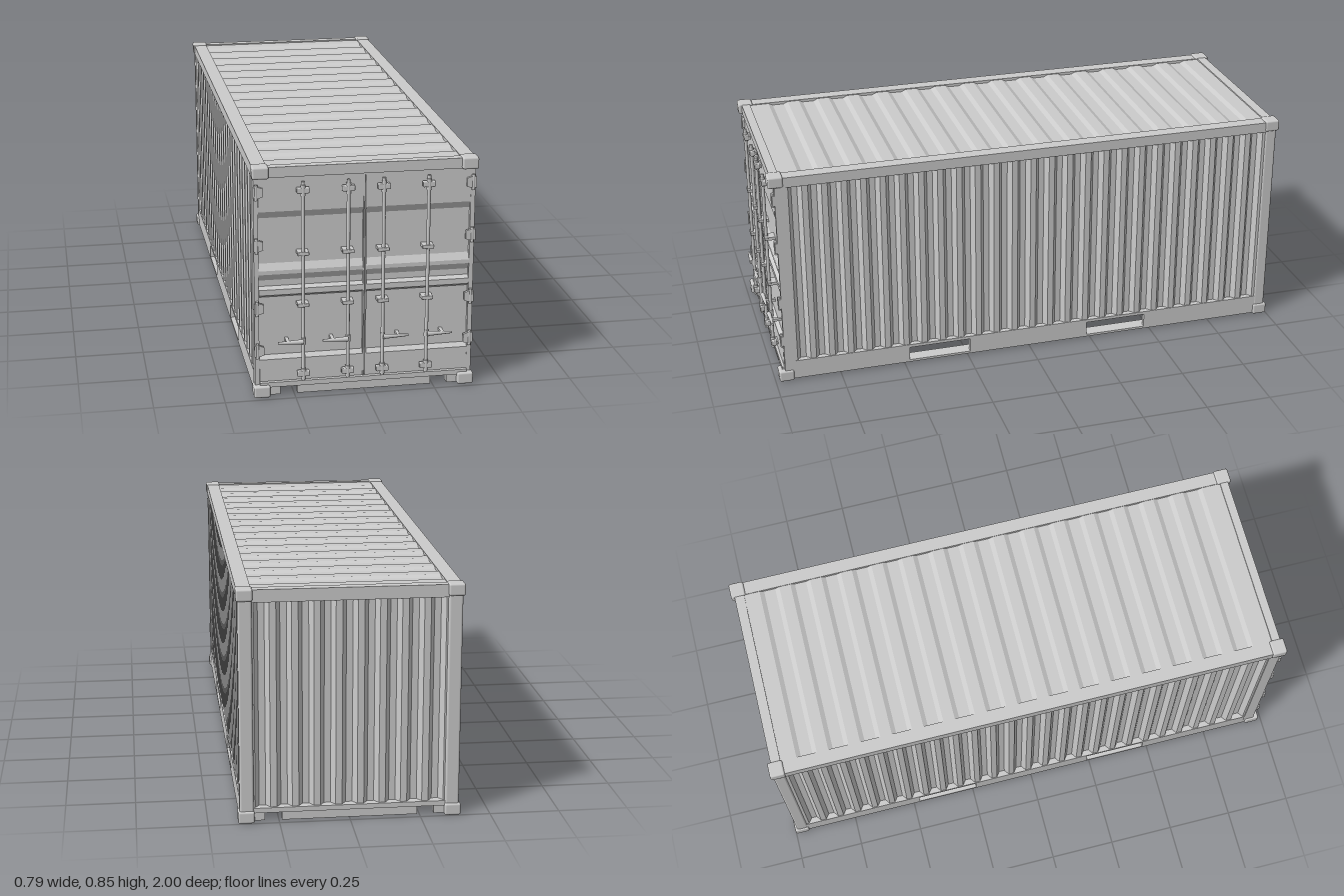
import * as THREE from 'three';
import { RoundedBoxGeometry } from 'three/addons/geometries/RoundedBoxGeometry.js';

const steel = new THREE.MeshStandardMaterial({ color: 0xcccccc, side: THREE.DoubleSide });

function add(parent, name, geometry, x = 0, y = 0, z = 0) {
  const mesh = new THREE.Mesh(geometry, steel);
  mesh.name = name;
  mesh.position.set(x, y, z);
  parent.add(mesh);
  return mesh;
}

// Box given by its min and max on each axis
function box(parent, name, [x0, x1], [y0, y1], [z0, z1]) {
  return add(parent, name, new THREE.BoxGeometry(x1 - x0, y1 - y0, z1 - z0),
    (x0 + x1) / 2, (y0 + y1) / 2, (z0 + z1) / 2);
}

// Sheet whose folded profile (run, height) is extruded along an axis; height points outward
function sheet(parent, name, profile, thickness, width, outward, along, position) {
  const top = profile.map(([u, v]) => new THREE.Vector2(u, v));
  const bottom = profile.map(([u, v]) => new THREE.Vector2(u, v - thickness)).reverse();
  const geometry = new THREE.ExtrudeGeometry(new THREE.Shape([...top, ...bottom]),
    { depth: width, bevelEnabled: false });
  geometry.translate(0, 0, -width / 2);
  const run = new THREE.Vector3().crossVectors(outward, along);
  geometry.applyMatrix4(new THREE.Matrix4().makeBasis(run, outward, along));
  return add(parent, name, geometry, ...position);
}

// Trapezoid corrugation centred on zero; fractions: outer flat, slope, inner flat, slope
function corrugation(length, count, depth, slope = 0.2) {
  const pitch = length / count;
  const flat = (1 - 2 * slope) / 2;
  const points = [];
  for (let i = 0; i < count; i++) {
    const u = -length / 2 + i * pitch;
    points.push([u, 0], [u + flat * pitch / 2, 0],
      [u + (flat / 2 + slope) * pitch, -depth],
      [u + (flat * 1.5 + slope) * pitch, -depth],
      [u + (flat * 1.5 + 2 * slope) * pitch, 0]);
  }
  points.push([length / 2, 0]);
  return points;
}

// Long bottom rail with two fork pockets cut through the web
function bottomRailGeometry() {
  const web = new THREE.Shape([[-0.95, 0.005], [0.95, 0.005], [0.95, 0.08], [-0.95, 0.08]]
    .map(p => new THREE.Vector2(...p)));
  for (const z of [-0.355, 0.36]) {
    web.holes.push(new THREE.Path([[z - 0.12, 0.014], [z - 0.12, 0.068], [z + 0.12, 0.068], [z + 0.12, 0.014]]
      .map(p => new THREE.Vector2(...p))));
  }
  const geometry = new THREE.ExtrudeGeometry(web, { depth: 0.018, bevelEnabled: false });
  return geometry.rotateY(-Math.PI / 2);
}

const X = new THREE.Vector3(1, 0, 0);
const Y = new THREE.Vector3(0, 1, 0);
const Z = new THREE.Vector3(0, 0, 1);

function addFrame(model) {
  const frame = new THREE.Group();
  frame.name = 'frame';
  model.add(frame);
  for (const s of [-1, 1]) {
    const span = (a, b) => (s > 0 ? [a, b] : [-b, -a]);
    // Corner castings
    for (const y of [0.0215, 0.8235]) {
      for (const z of [-0.972, 0.957]) {
        add(frame, 'cornerCasting', new RoundedBoxGeometry(0.058, 0.043, 0.056, 2, 0.007), s * 0.366, y, z);
      }
    }
    // Posts
    box(frame, 'frontPost', span(0.373, 0.389), [0.03, 0.81], [0.92, 0.962]);
    box(frame, 'frontPostInner', span(0.345, 0.373), [0.03, 0.81], [0.92, 0.94]);
    add(frame, 'rearPost', new RoundedBoxGeometry(0.05, 0.78, 0.045, 2, 0.008), s * 0.364, 0.42, -0.969);
    // Long rails
    box(frame, 'topRail', span(0.34, 0.391), [0.8, 0.839], [-0.96, 0.95]);
    add(frame, 'bottomRail', bottomRailGeometry(), s > 0 ? 0.388 : -0.37, 0, 0);
    box(frame, 'bottomRailFlange', span(0.335, 0.372), [0.005, 0.014], [-0.95, 0.94]);
    // Ends of the cross sills beside the small pockets
    box(frame, 'sillEnd', span(0.3, 0.345), [0.004, 0.045], [0.935, 0.967]);
    box(frame, 'sillEnd', span(0.3, 0.345), [0.004, 0.045], [-0.98, -0.95]);
  }
  // Cross members front and rear
  for (const [name, z0, z1] of [['front', 0.94, 0.972], ['rear', -0.987, -0.95]]) {
    box(frame, name + 'Header', [-0.345, 0.345], [0.804, 0.841], [z0, z1]);
    box(frame, name + 'HeaderLip', [-0.373, 0.373], [0.796, 0.806], [z0, z1 - 0.008]);
    box(frame, name + 'Sill', [-0.373, 0.373], [0.034, 0.052], [z0, z1]);
    box(frame, name + 'SillBar', [-0.24, 0.24], [0.004, 0.036], [z0 + 0.005, z1 - 0.005]);
  }
  box(frame, 'floor', [-0.372, 0.372], [0.069, 0.079], [-0.95, 0.94]);
}

function addWalls(model) {
  for (const s of [-1, 1]) {
    sheet(model, s > 0 ? 'leftWall' : 'rightWall', corrugation(1.87, 26, 0.02), 0.004, 0.735,
      X.clone().multiplyScalar(s), Y, [s * 0.385, 0.44, -0.012]);
  }
  sheet(model, 'rearWall', corrugation(0.69, 9, 0.022), 0.004, 0.765,
    Z.clone().negate(), Y, [0, 0.425, -0.978]);
  sheet(model, 'roof', corrugation(1.8, 15, 0.008, 0.14), 0.005, 0.69, Y, X, [0, 0.836, -0.012]);
  for (const z of [[-0.96, -0.91], [0.886, 0.95]]) {
    box(model, 'roofEndPlate', [-0.342, 0.342], [0.829, 0.836], z);
  }
}

function addDoors(model) {
  // Horizontal folds of a door leaf, from bottom to top
  const folds = [[0.054, 0], [0.136, 0], [0.15, -0.014], [0.366, -0.014], [0.376, 0], [0.396, 0],
    [0.406, -0.014], [0.428, -0.014], [0.452, 0], [0.466, 0], [0.49, -0.014], [0.655, -0.014],
    [0.68, 0], [0.797, 0]];
  for (const s of [-1, 1]) {
    const door = new THREE.Group();
    door.name = s > 0 ? 'leftDoor' : 'rightDoor';
    model.add(door);
    sheet(door, 'doorPanel', folds, 0.012, 0.371, Z, X, [s * 0.187, 0, 0.963]);
    box(door, 'doorGasket', s > 0 ? [0.001, 0.006] : [-0.006, -0.001], [0.054, 0.797], [0.945, 0.965]);

    // Hinges: tapered plates with a pin
    for (const y of [0.172, 0.33, 0.56, 0.752]) {
      const plate = new THREE.Shape([[0.357, -0.015], [0.372, -0.02], [0.391, -0.02],
        [0.391, 0.02], [0.372, 0.02], [0.357, 0.015]].map(([x, v]) => new THREE.Vector2(s * x, v)));
      add(door, 'hinge', new THREE.ExtrudeGeometry(plate, { depth: 0.01, bevelEnabled: false }), 0, y, 0.962);
      add(door, 'hingePin', new THREE.CylinderGeometry(0.006, 0.006, 0.055, 10), s * 0.38, y, 0.968);
    }

    // Locking bars
    for (const x of [0.062, 0.22]) {
      const bar = new THREE.Group();
      bar.name = 'lockingBar';
      bar.position.set(s * x, 0, 0.98);
      door.add(bar);
      add(bar, 'rod', new THREE.CylinderGeometry(0.0065, 0.0065, 0.73, 12), 0, 0.423, 0);
      for (const y of [0.083, 0.757]) {
        add(bar, 'endKeeper', new RoundedBoxGeometry(0.045, 0.021, 0.02, 1, 0.004), 0, y, -0.002);
        add(bar, 'endCam', new THREE.CylinderGeometry(0.009, 0.009, 0.04, 12), 0, y, 0);
        box(bar, 'keeperFoot', [-0.018, 0.018], [y - 0.007, y + 0.007], [-0.02, -0.008]);
      }
      for (const y of [0.34, 0.529]) {
        add(bar, 'guide', new RoundedBoxGeometry(0.042, 0.014, 0.014, 1, 0.003), 0, y, 0.001);
        box(bar, 'guideFoot', [-0.02, 0.02], [y - 0.006, y + 0.006], [-0.033, -0.004]);
      }
      // Handle with hub, tapering away from the middle of the container
      add(bar, 'handleHub', new THREE.CylinderGeometry(0.009, 0.009, 0.025, 12), 0, 0.206, 0);
      const handle = add(bar, 'handle', new THREE.CylinderGeometry(0.004, 0.009, 0.09, 10), s * 0.046, 0.206, 0.009);
      handle.rotation.z = -s * Math.PI / 2;
      box(bar, 'handleRest', s > 0 ? [0.05, 0.062] : [-0.062, -0.05], [0.201, 0.211], [-0.032, 0.008]);
    }
  }
}

export function createModel() {
  const model = new THREE.Group();
  model.name = 'shippingContainer';
  addFrame(model);
  addWalls(model);
  addDoors(model);
  return model;
}
